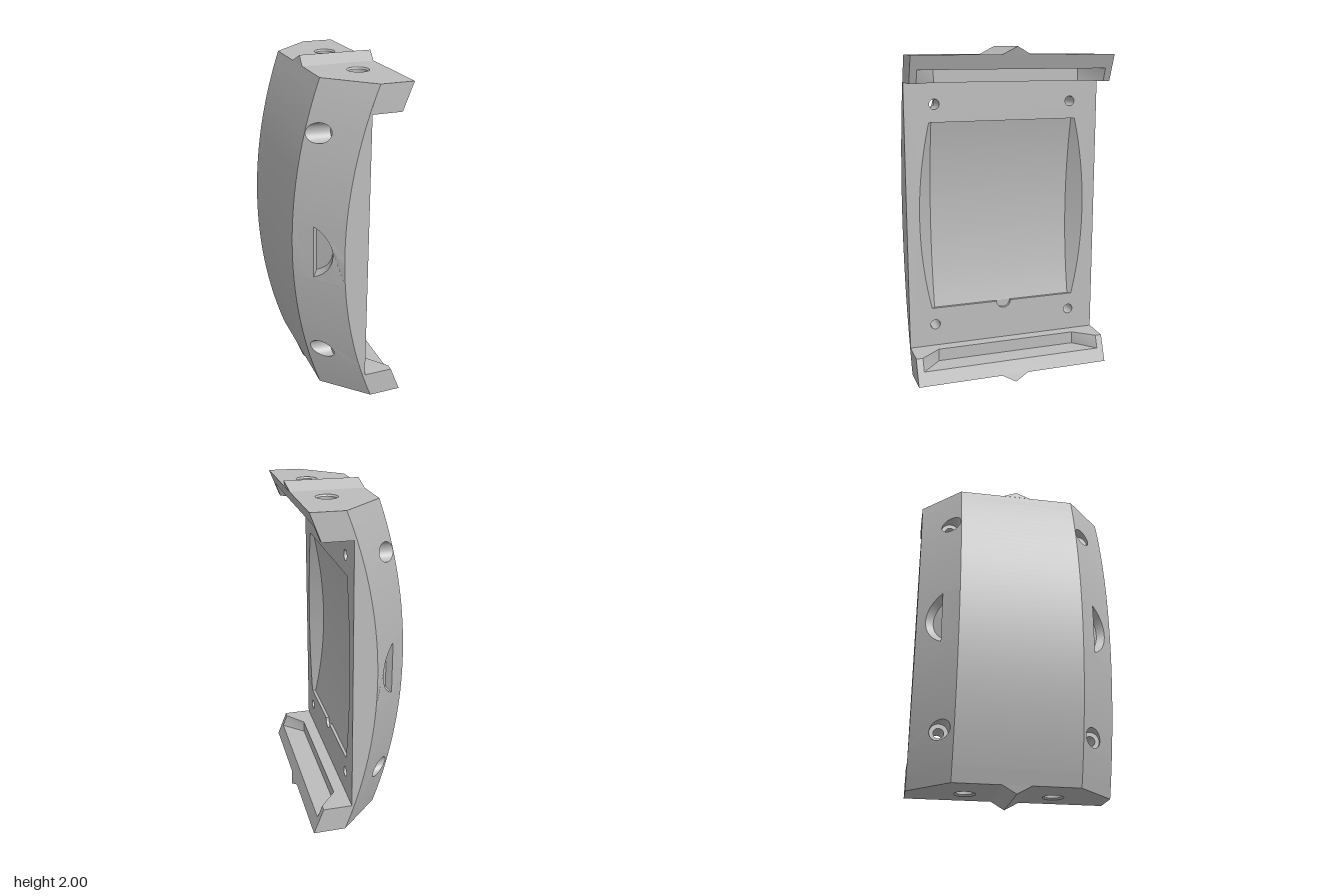
import * as THREE from 'three';
import { toCreasedNormals } from 'three/addons/utils/BufferGeometryUtils.js';

// Concentric arcs seen from the side: centre, back, side edge and inner pocket
const CX = 2.541, R_BACK = 2.846, R_SIDE = 2.621, R_POCKET = 2.561;
const Z_BACK = 0.365, Z_SIDE = 0.6, Z_POCKET = 0.44, FRONT = 0.06;
const POCKET_Y = [0.44, 1.57];
const arcX = (r, y) => CX - Math.sqrt(r * r - (y - 1) ** 2);
const bevelX = (y, z) =>
  THREE.MathUtils.lerp(arcX(R_BACK, y), arcX(R_SIDE, y), (z - Z_BACK) / (Z_SIDE - Z_BACK));
const lipX = y => 0.23 + 0.06 * (y - 1.8) / 0.155;
const pocketZ = y => Z_POCKET + (FRONT - arcX(R_POCKET, y)) * 1.04;

// Evenly spaced values from a to b
const span = (a, b, n = Math.max(1, Math.ceil((b - a) / 0.04))) =>
  Array.from({ length: n + 1 }, (_, i) => a + (b - a) * i / n);
const circle = (u, v, r, n = 28) =>
  span(0, Math.PI * 2, n).slice(0, n).map(t => new THREE.Vector2(u + r * Math.cos(t), v + r * Math.sin(t)));
const shapeOf = (points, holes = []) => {
  const shape = new THREE.Shape(points.map(p => (p.isVector2 ? p : new THREE.Vector2(...p))));
  shape.holes = holes.map(h => new THREE.Path(h));
  return shape;
};

// Move every vertex by a rule
function warp(geo, rule) {
  const p = geo.attributes.position;
  for (let i = 0; i < p.count; i++) p.setXYZ(i, ...rule(p.getX(i), p.getY(i), p.getZ(i)));
  return geo;
}

// Flat outline carried into space by a rule
function face(shape, rule, flip = false) {
  const geo = warp(new THREE.ShapeGeometry(shape), rule);
  if (flip) geo.setIndex(Array.from(geo.index.array).reverse());
  return geo;
}

// Ruled strip between two curves
function ruled(ts, a, b) {
  const pos = [], idx = [];
  ts.forEach((t, i) => {
    pos.push(...a(t), ...b(t));
    const k = i * 2;
    if (i) idx.push(k - 2, k - 1, k, k - 1, k + 1, k);
  });
  const geo = new THREE.BufferGeometry();
  geo.setAttribute('position', new THREE.Float32BufferAttribute(pos, 3));
  return geo.setIndex(idx);
}

export function createModel() {
  const model = new THREE.Group();
  model.name = 'curvedCase';
  const grey = new THREE.MeshStandardMaterial({ color: 0xbcbcbc, side: THREE.DoubleSide });
  grey.name = 'grey';
  const add = (name, geo, parent = model) => {
    geo.deleteAttribute('uv');
    const mesh = new THREE.Mesh(toCreasedNormals(geo, 0.4), grey);
    mesh.name = name;
    parent.add(mesh);
    return mesh;
  };

  // Half-moon recess outline on the bevel, in (z, y)
  const moon = k => {
    const r = 0.18, half = 1.05;
    return span(-half, half, 20).map(t => new THREE.Vector2(
      0.459 + k * 0.089 * (Math.cos(t) - Math.cos(half)) / (1 - Math.cos(half)),
      1 + k * r * Math.sin(t)));
  };
  const screws = [[0.44, 0.335], [0.422, 1.675]];
  const bevelCells = [
    [0.125, 0.27], [0.27, 0.4, circle(...screws[0], 0.055)], [0.4, 0.83],
    [0.83, 1.17, moon(1)], [1.17, 1.61], [1.61, 1.74, circle(...screws[1], 0.055)], [1.74, 1.875],
  ];
  const rows = [0.125, ...bevelCells.flatMap(([a, b]) => span(a, b).slice(1))];

  // Curved back
  add('backShell', ruled(rows, y => [arcX(R_BACK, y), y, -Z_BACK], y => [arcX(R_BACK, y), y, Z_BACK]));

  for (const s of [1, -1]) {
    const strip = (ts, a, b) => (s > 0 ? ruled(ts, a, b) : ruled(ts, b, a));
    const onBevel = (z, y) => [bevelX(y, z), y, s * z];

    // Bevelled flank with openings
    for (const [y0, y1, hole] of bevelCells) {
      const ys = span(y0, y1);
      if (!hole) {
        add('bevel', strip(ys, y => onBevel(Z_BACK, y), y => onBevel(Z_SIDE, y)));
        continue;
      }
      const outline = [...ys.map(y => [Z_SIDE, y]), ...ys.slice().reverse().map(y => [Z_BACK, y])];
      add('bevelWithOpening', face(shapeOf(outline, [hole]), onBevel, s < 0));
    }

    // Straight side wall
    add('sideWall', strip(rows.filter(y => y > 0.15 && y < 1.85),
      y => [arcX(R_SIDE, y), y, s * Z_SIDE], y => [Math.max(FRONT, arcX(R_SIDE, y)), y, s * Z_SIDE]));

    // Half-moon recess
    const rim = moon(1), base = moon(0.82), loop = [...rim.keys(), 0];
    const sunk = (z, y) => [bevelX(y, z) + 0.03, y, s * (z - 0.03)];
    add('recessWall', strip(loop, i => onBevel(rim[i].x, rim[i].y), i => sunk(base[i].x, base[i].y)));
    add('recessFloor', face(shapeOf(base), sunk, s < 0));

    // Stepped screw holes running from the front panel to the bevel
    for (const [z, y] of screws) {
      const profile = [[0.03, FRONT], [0.03, -0.08], [0.055, -0.08], [0.055, -1]];
      const geo = new THREE.LatheGeometry(profile.map(p => new THREE.Vector2(...p)), 28);
      add('screwHole', warp(geo, (a, h, b) =>
        [h < -0.5 ? bevelX(y + a, z + b) : h, y + a, s * (z + b)]));
    }

    // Pocket side wall
    add('pocketSide', strip(span(...POCKET_Y),
      y => [FRONT, y, s * pocketZ(y)], y => [arcX(R_POCKET, y), y, s * Z_POCKET]));
  }

  // Front panel with pocket window, notch and screw holes
  const notch = span(Math.PI, Math.PI * 2, 12)
    .map(t => new THREE.Vector2(0.045 * Math.cos(t), POCKET_Y[0] + 0.045 * Math.sin(t)));
  const ys = span(...POCKET_Y);
  const windowEdge = [
    ...notch,
    ...ys.map(y => new THREE.Vector2(pocketZ(y), y)),
    ...ys.slice().reverse().map(y => new THREE.Vector2(-pocketZ(y), y)),
  ];
  const panelHoles = screws.flatMap(([z, y]) => [circle(z, y, 0.03), circle(-z, y, 0.03)]);
  add('frontPanel', face(
    shapeOf([[-0.6, 0.2], [0.6, 0.2], [0.6, 1.8], [-0.6, 1.8]], [windowEdge, ...panelHoles]),
    (u, v) => [FRONT, v, -u]));

  // Pocket back, ends and notch
  add('pocketBack', ruled(ys, y => [arcX(R_POCKET, y), y, Z_POCKET], y => [arcX(R_POCKET, y), y, -Z_POCKET]));
  const [yLow, yHigh] = POCKET_Y, xLow = arcX(R_POCKET, yLow), xHigh = arcX(R_POCKET, yHigh);
  for (const s of [1, -1]) {
    add('pocketBottom', face(shapeOf([[s * 0.045, xLow], [s * Z_POCKET, xLow],
      [s * pocketZ(yLow), FRONT], [s * 0.045, FRONT]]), (u, v) => [v, yLow, u]));
  }
  add('pocketTop', face(shapeOf([[-Z_POCKET, xHigh], [Z_POCKET, xHigh],
    [pocketZ(yHigh), FRONT], [-pocketZ(yHigh), FRONT]]), (u, v) => [v, yHigh, u], true));
  add('notchWall', ruled([...notch.keys()],
    i => [FRONT, notch[i].y, notch[i].x], i => [xLow, notch[i].y, notch[i].x]));
  add('notchBack', face(shapeOf(notch), (u, v) => [xLow, v, -u]));

  // End lip: slotted lower layer, drilled cap and ridge
  const follow = (x, y, z) => {
    if (x > 0.2) return [lipX(y), y, z];
    if (x < 0.11 && Math.abs(z) > 0.36) return [arcX(Math.abs(z) > 0.5 ? R_SIDE : R_BACK, y), y, z];
    return [x, y, z];
  };
  const layer = (shape, y, depth) => warp(
    new THREE.ExtrudeGeometry(shape, { depth, bevelEnabled: false }).rotateX(-Math.PI / 2).translate(0, y, 0), follow);

  function endLip(name) {
    const lip = new THREE.Group();
    lip.name = name;
    add('slottedLip', layer(shapeOf([[0.06, -0.6], [0.23, -0.6], [0.23, -0.56], [0.13, -0.44],
      [0.13, 0.44], [0.23, 0.56], [0.23, 0.6], [0.06, 0.6]]), 1.8, 0.075), lip);
    add('endCap', layer(shapeOf([[-0.14, -Z_BACK], [0.1, -0.6], [0.25, -0.6], [0.25, 0.6], [0.1, 0.6],
      [-0.14, Z_BACK]], [circle(0.12, 0.26, 0.063), circle(0.12, -0.26, 0.063)]), 1.875, 0.08), lip);
    const socket = [[0, 1.875], [0.064, 1.875], [0.063, 1.955], [0.055, 1.945], [0.055, 1.905], [0, 1.905]];
    for (const z of [0.26, -0.26]) {
      const geo = new THREE.LatheGeometry(socket.map(p => new THREE.Vector2(...p)), 28);
      add('socket', geo.translate(0.12, 0, z), lip);
    }
    const ridge = new THREE.ExtrudeGeometry(shapeOf([[-0.085, 1.955], [0.085, 1.955], [0, 2]]),
      { depth: 1, bevelEnabled: false }).rotateY(Math.PI / 2);
    add('ridge', warp(ridge, (x, y, z) =>
      [x > 0.5 ? (y > 1.98 ? 0.305 : 0.288) : (y > 1.98 ? -0.127 : -0.141), y, z]), lip);
    model.add(lip);
    return lip;
  }
  endLip('topLip');
  const bottom = endLip('bottomLip');
  bottom.rotation.x = Math.PI;
  bottom.position.y = 2;

  return model;
}
